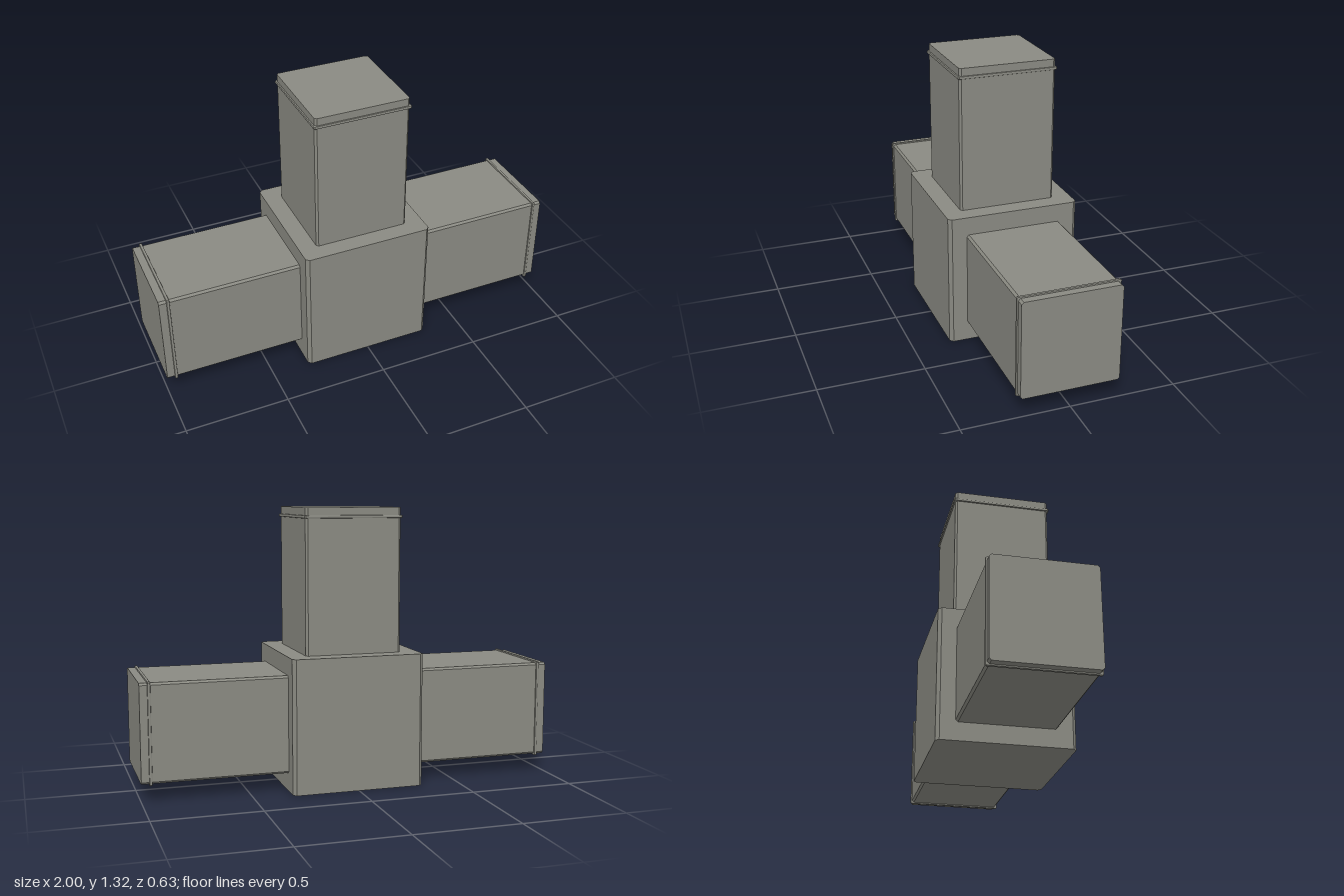
import * as THREE from 'three';

const HUB = 0.635, MID = HUB / 2;

// Square outline with cut corners, h = half width, c = corner cut
function cutSquare(h, c) {
  const k = h - c;
  return new THREE.Shape([
    [h, -k], [h, k], [k, h], [-k, h], [-h, k], [-h, -k], [-k, -h], [k, -h],
  ].map(([x, y]) => new THREE.Vector2(x, y)));
}

// Upright prism from y0 to y1
function prism(half, cut, y0, y1) {
  const geo = new THREE.ExtrudeGeometry(cutSquare(half, cut), { depth: y1 - y0, bevelEnabled: false });
  return geo.rotateX(-Math.PI / 2).translate(0, y0, 0);
}

// Thin bead around a plug, with softened upper and lower edges
function bead(half, y, height) {
  const b = 0.004;
  const geo = new THREE.ExtrudeGeometry(cutSquare(half - b, 0.003), {
    depth: height - 2 * b, bevelThickness: b, bevelSize: b, bevelSegments: 2,
  });
  return geo.rotateX(-Math.PI / 2).translate(0, y - height / 2 + b, 0);
}

export function createModel() {
  const model = new THREE.Group();
  model.name = 'tubeConnector';
  const grey = new THREE.MeshStandardMaterial({ color: 0x8a8a82, flatShading: true });
  grey.name = 'warm grey';

  const add = (parent, name, geo) => {
    const mesh = new THREE.Mesh(geo, grey);
    mesh.name = name;
    parent.add(mesh);
  };

  // Central block
  add(model, 'hub', prism(MID, 0.016, 0, HUB));

  // Three equal plugs reaching out from the middle of the hub
  const arms = [['topArm', 0], ['leftArm', -Math.PI / 2], ['rightArm', Math.PI / 2]];
  for (const [name, turn] of arms) {
    const arm = new THREE.Group();
    arm.name = name;
    add(arm, 'plug', prism(0.231, 0.01, MID - 0.02, 1));
    add(arm, 'retainingBead', bead(0.238, 0.957, 0.014));
    arm.position.y = MID;
    arm.rotation.z = turn;
    model.add(arm);
  }
  return model;
}
